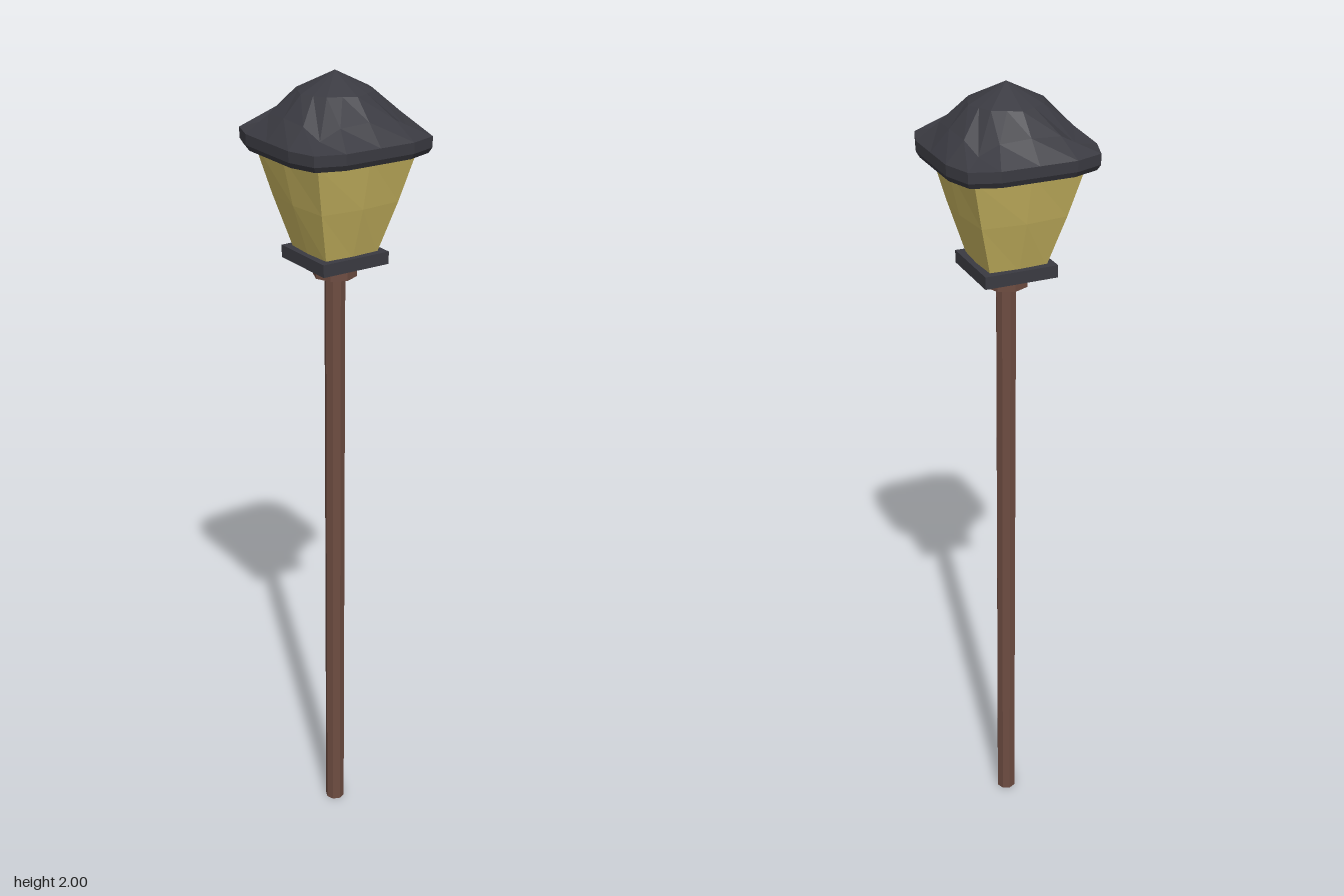
import * as THREE from 'three';

// Repeats quarter-outline points [x, z, y] four times around the y axis.
function ring(quarter) {
  const pts = [];
  for (let q = 0; q < 4; q++) {
    for (let [x, z, y] of quarter) {
      for (let k = 0; k < q; k++) [x, z] = [-z, x];
      pts.push(new THREE.Vector3(x, y, z));
    }
  }
  return pts;
}

// Faceted skin through rings listed from bottom to top; collapsed triangles are skipped.
function loft(rings) {
  const pos = [];
  const tri = (a, b, c) => {
    if (a.equals(b) || b.equals(c) || a.equals(c)) return;
    for (const p of [a, b, c]) pos.push(p.x, p.y, p.z);
  };
  for (let r = 0; r < rings.length - 1; r++) {
    const lo = rings[r], hi = rings[r + 1], n = lo.length;
    for (let i = 0; i < n; i++) {
      const j = (i + 1) % n;
      tri(lo[i], hi[i], hi[j]);
      tri(lo[i], hi[j], lo[j]);
    }
  }
  const geo = new THREE.BufferGeometry();
  geo.setAttribute('position', new THREE.Float32BufferAttribute(pos, 3));
  geo.computeVertexNormals();
  return geo;
}

export function createModel() {
  const group = new THREE.Group();
  const material = (name, color) => {
    const m = new THREE.MeshStandardMaterial({ color, flatShading: true });
    m.name = name;
    return m;
  };
  const brown = material('brown metal', 0x6d4c41);
  const dark = material('dark metal', 0x3a3a41);
  const amber = material('amber glass', 0xc8b560);

  const add = (name, geo, mat, y = 0) => {
    const mesh = new THREE.Mesh(geo, mat);
    mesh.name = name;
    mesh.position.y = y;
    group.add(mesh);
  };

  // Post and collar
  add('post', new THREE.CylinderGeometry(0.025, 0.025, 1.54, 8), brown, 0.77);
  add('collar', new THREE.CylinderGeometry(0.053, 0.053, 0.036, 8), brown, 1.543);

  // Square plate under the glass
  add('basePlate', new THREE.BoxGeometry(0.18, 0.03, 0.18), dark, 1.575);

  // Flared glass: [half width at face centre, half width at corner, height]
  const glassRing = ([a, c, y]) => ring([[a, 0, y], [c, c, y]]);
  const glass = [[0.074, 0.07, 1.585], [0.114, 0.104, 1.71], [0.142, 0.133, 1.83]];
  add('glass', loft(glass.map(glassRing)), amber);

  // Rim outline: a rounded square scaled by s
  const rim = (s, y) => ring([
    [0.18 * s, 0, y], [0.18 * s, 0.09 * s, y],
    [0.157 * s, 0.157 * s, y], [0.09 * s, 0.18 * s, y],
  ]);

  // Roof: closed underside, rim, sagging corners and a pointed crown
  add('roof', loft([
    rim(0, 1.825),
    rim(0.96, 1.825),
    rim(1, 1.838),
    rim(1, 1.863),
    ring([[0.135, 0, 1.91], [0.13, 0.072, 1.905], [0.115, 0.115, 1.879], [0.072, 0.13, 1.905]]),
    ring([[0.09, 0, 1.956], [0.078, 0.032, 1.958], [0.063, 0.063, 1.958], [0.032, 0.078, 1.958]]),
    rim(0, 2),
  ]), dark);

  return group;
}
